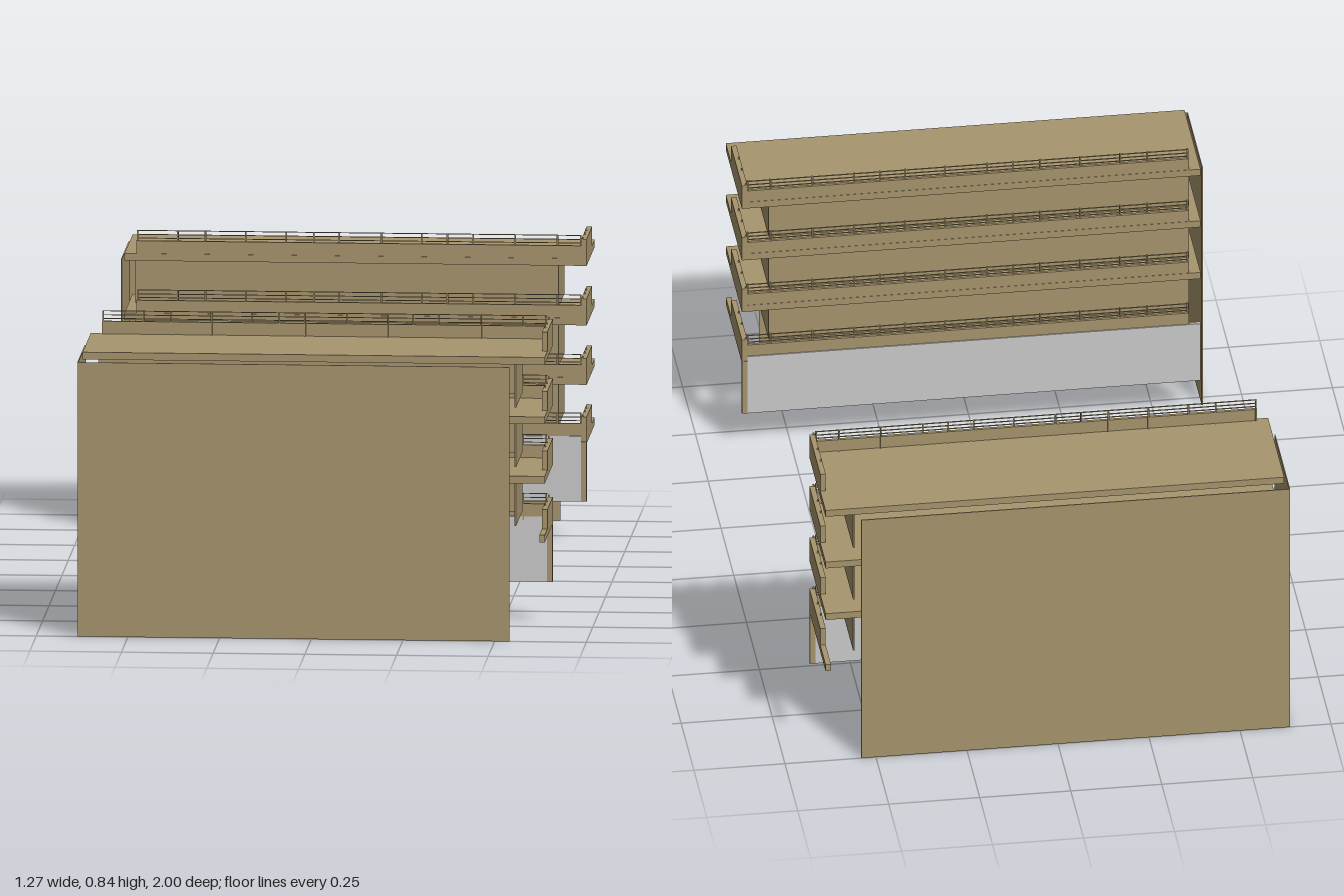
import * as THREE from 'three';

const concrete = new THREE.MeshStandardMaterial({ color: 0xa8966e });
concrete.name = 'tan concrete';
const panel = new THREE.MeshStandardMaterial({ color: 0xcccccc });
panel.name = 'light grey panel';

const LEVELS = [0.27, 0.432, 0.596, 0.76];
const POSTS = [-0.59, -0.48, -0.405, -0.295, -0.185, -0.11, -0.04,
  0.075, 0.185, 0.255, 0.325, 0.44, 0.555, 0.618];

// One block; side = +1 or -1 picks which z side it stands on
function createBlock(side) {
  const block = new THREE.Group();
  block.name = side > 0 ? 'frontBlock' : 'backBlock';

  // Box from its extents; z is the distance from the middle plane
  const box = (parent, name, x0, x1, y0, y1, z0, z1, material = concrete) => {
    const mesh = new THREE.Mesh(new THREE.BoxGeometry(x1 - x0, y1 - y0, z1 - z0), material);
    mesh.position.set((x0 + x1) / 2, (y0 + y1) / 2, side * (z0 + z1) / 2);
    mesh.name = name;
    parent.add(mesh);
  };

  // Thin outer shell: long wall and closed end
  box(block, 'longWall', -0.638, 0.54, 0, 0.756, 0.997, 1);
  box(block, 'closedEndWall', -0.638, -0.635, 0, 0.756, 0.71, 1);

  LEVELS.forEach((y, i) => {
    const level = new THREE.Group();
    level.name = 'level' + (i + 1);
    block.add(level);

    // Floor slab (the lowest level is open below)
    if (i > 0) box(level, 'floorSlab', -0.625, 0.62, y, y + 0.02, 0.66, 0.975);

    // Gallery parapet, with a low kerb at its closed end
    box(level, 'galleryParapet', -0.593, 0.62, y, y + 0.055, 0.661, 0.669);
    box(level, 'galleryKerb', -0.625, -0.593, y, y + 0.02, 0.661, 0.669);

    // Balcony end: two upright plates and a low kerb
    box(level, 'endParapetCorner', 0.62, 0.635, y, y + 0.073, 0.66, 0.735);
    box(level, 'endParapet', 0.62, 0.635, y, y + 0.073, 0.735, 0.872);
    box(level, 'endKerb', 0.62, 0.635, y, y + 0.02, 0.872, 0.975);
    for (const z of [0.66, 0.74, 0.8]) {
      box(level, 'endPost', 0.622, 0.626, y + 0.07, y + 0.079, z, z + 0.004);
    }

    // Handrails and posts
    for (const h of [0.063, 0.073, 0.084]) {
      box(level, 'handrail', -0.592, 0.62, y + h - 0.002, y + h, 0.663, 0.666);
    }
    for (const x of POSTS) {
      box(level, 'railPost', x - 0.002, x + 0.002, y + 0.01, y + 0.083, 0.666, 0.672);
    }

    // Recessed walls up to the next level
    if (i < LEVELS.length - 1) {
      const top = LEVELS[i + 1];
      box(level, 'recessedWall', -0.6, 0.555, y + 0.04, top, 0.708, 0.712);
      box(level, 'recessedEndWall', 0.551, 0.555, y + 0.04, top, 0.712, 0.945);
    }
  });

  // Grey screen hanging under the lowest gallery
  box(block, 'screen', -0.625, 0.62, 0.11, 0.29, 0.658, 0.67, panel);
  box(block, 'screenEnd', 0.62, 0.635, 0.11, 0.275, 0.658, 0.67);
  return block;
}

export function createModel() {
  const model = new THREE.Group();
  model.name = 'galleryBlocks';
  model.add(createBlock(1), createBlock(-1));
  return model;
}
